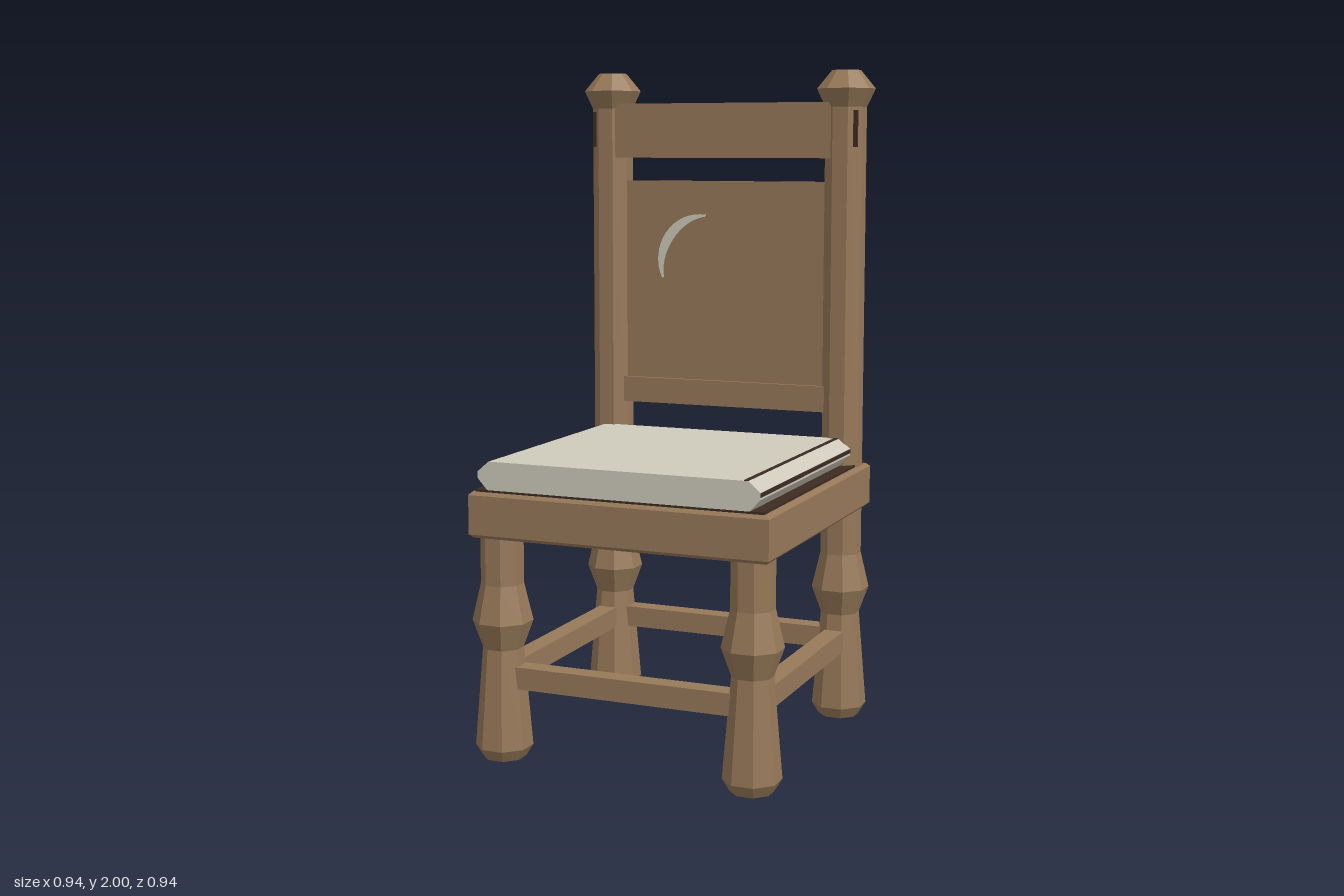
import * as THREE from 'three';

const wood = new THREE.MeshStandardMaterial({ color: 0x977959, flatShading: true });
wood.name = 'wood';
const darkWood = new THREE.MeshStandardMaterial({ color: 0x3d2c22, flatShading: true });
darkWood.name = 'dark wood';
const cloth = new THREE.MeshStandardMaterial({ color: 0xcfcabb, flatShading: true });
cloth.name = 'cloth';

const POST = 0.388; // distance of legs and posts from the centre lines

export function createModel() {
  const chair = new THREE.Group();
  chair.name = 'chair';

  const add = (name, geometry, material, x = 0, y = 0, z = 0) => {
    const mesh = new THREE.Mesh(geometry, material);
    mesh.name = name;
    mesh.position.set(x, y, z);
    chair.add(mesh);
    return mesh;
  };
  // Box given by its limits on each axis
  const box = (name, material, [x0, x1], [y0, y1], [z0, z1]) =>
    add(name, new THREE.BoxGeometry(x1 - x0, y1 - y0, z1 - z0), material,
      (x0 + x1) / 2, (y0 + y1) / 2, (z0 + z1) / 2);
  // Eight-sided turning with flats facing the axes; profile is [half width, y]
  const turned = (profile) => new THREE.LatheGeometry(
    profile.map(([w, y]) => new THREE.Vector2(w / Math.cos(Math.PI / 8), y)), 8, Math.PI / 8);

  // Turned legs
  const leg = turned([[0, 0], [0.058, 0], [0.078, 0.035], [0.055, 0.33], [0.082, 0.41],
    [0.058, 0.52], [0.058, 0.7]]);
  for (const x of [-POST, POST]) {
    for (const z of [-POST, POST]) add(z > 0 ? 'frontLeg' : 'backLeg', leg, wood, x, 0, z);
  }

  // Back posts with faceted finials
  const post = turned([[0.058, 0.75], [0.058, 1.89], [0.082, 1.945], [0.04, 2], [0, 2]]);
  for (const s of [-1, 1]) {
    add('backPost', post, wood, s * POST, 0, -POST);
    // Dark ends of the top rail showing through the post corners
    box('tenon', darkWood, s < 0 ? [-0.437, -0.36] : [0.36, 0.437], [1.77, 1.88],
      [-POST - 0.045, -POST + 0.045]);
  }

  // Stretchers between the legs
  const span = [-0.35, 0.35];
  for (const s of [-1, 1]) {
    const across = [s * POST - 0.03, s * POST + 0.03];
    box('crossStretcher', wood, span, [0.215, 0.28], across);
    box('sideStretcher', wood, across, [0.215, 0.28], span);
  }

  // Seat frame with chamfered edges
  const c = 0.01, w = 0.458 - c;
  const square = new THREE.Shape([[-w, -w], [w, -w], [w, w], [-w, w]].map((p) => new THREE.Vector2(...p)));
  const frame = new THREE.ExtrudeGeometry(square,
    { depth: 0.115, bevelSize: c, bevelThickness: c, bevelSegments: 1 });
  frame.rotateX(-Math.PI / 2);
  add('seatFrame', frame, wood, 0, 0.67, 0);
  box('seatBoard', darkWood, [-0.44, 0.44], [0.793, 0.802], [-0.455, 0.447]);

  // Cushion with sloped sides and a dark seam on one side
  const profile = [[-0.4, 0.802], [0.4, 0.802], [0.43, 0.835], [0.43, 0.855], [0.395, 0.885],
    [-0.395, 0.885], [-0.43, 0.855], [-0.43, 0.835]];
  const cushion = new THREE.ExtrudeGeometry(
    new THREE.Shape(profile.map((p) => new THREE.Vector2(...p))), { depth: 0.79, bevelEnabled: false });
  add('cushion', cushion, cloth, 0, 0, -0.34);
  box('cushionSeam', darkWood, [0.382, 0.395], [0.88, 0.887], [-0.335, 0.449]);
  box('cushionSeam', darkWood, [0.425, 0.432], [0.842, 0.854], [-0.335, 0.449]);

  // Back rest
  box('topRail', wood, [-0.37, 0.37], [1.737, 1.905], [-0.433, -0.337]);
  box('lowerRail', wood, [-0.345, 0.345], [0.96, 1.04], [-0.42, -0.356]);
  box('backPanel', wood, [-0.345, 0.345], [1.03, 1.665], [-0.408, -0.368]);

  // Crescent inlays on both faces of the panel
  const crescent = (from, to) => {
    const outer = [], inner = [], n = 16;
    for (let i = 0; i <= n; i++) {
      const a = THREE.MathUtils.degToRad(from + (to - from) * i / n);
      const r = 0.142 - 0.006 - 0.026 * Math.sin(Math.PI * i / n);
      outer.push(new THREE.Vector2(0.142 * Math.cos(a), 0.142 * Math.sin(a)));
      inner.unshift(new THREE.Vector2(r * Math.cos(a), r * Math.sin(a)));
    }
    return new THREE.ExtrudeGeometry(new THREE.Shape([...outer, ...inner]),
      { depth: 0.004, bevelEnabled: false });
  };
  add('frontCrescent', crescent(82, 205), cloth, -0.08, 1.42, -0.369);
  add('backCrescent', crescent(78, 250), cloth, -0.08, 1.42, -0.411);

  return chair;
}
